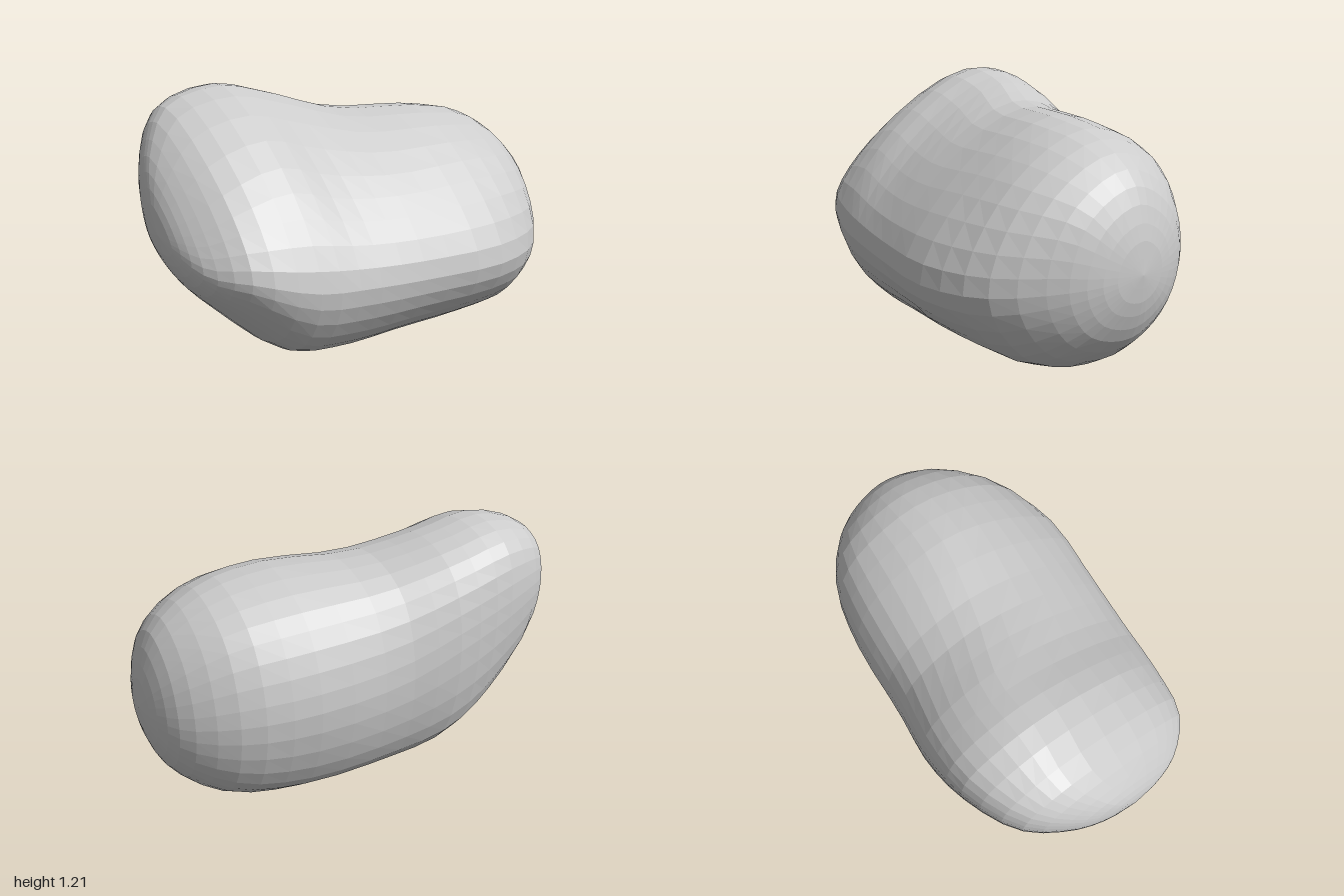
import * as THREE from 'three';

// Cross-sections from back to front: z, then eight outline points (x, y)
// counter-clockwise: right, upper right, top, upper left, left, lower left, bottom, lower right
const SECTIONS = [
  [-0.9, 0.32, 0.46, 0.22, 0.74, -0.04, 0.87, -0.26, 0.75, -0.335, 0.52, -0.26, 0.30, -0.05, 0.18, 0.21, 0.25],
  [-0.7, 0.54, 0.43, 0.36, 0.80, -0.03, 1.01, -0.37, 0.88, -0.49, 0.55, -0.38, 0.20, -0.08, 0.03, 0.33, 0.12],
  [-0.4, 0.64, 0.42, 0.39, 0.81, -0.03, 1.065, -0.43, 0.93, -0.57, 0.57, -0.43, 0.15, -0.12, 0.005, 0.41, 0.13],
  [0.0, 0.605, 0.42, 0.37, 0.79, -0.13, 1.075, -0.48, 0.97, -0.605, 0.62, -0.48, 0.18, -0.11, 0.03, 0.41, 0.13],
  [0.3, 0.57, 0.43, 0.32, 0.81, -0.24, 1.16, -0.545, 1.06, -0.64, 0.74, -0.52, 0.25, -0.02, 0.045, 0.39, 0.12],
  [0.55, 0.535, 0.45, 0.29, 0.87, -0.25, 1.21, -0.55, 1.12, -0.615, 0.82, -0.48, 0.37, 0.06, 0.10, 0.38, 0.16],
  [0.8, 0.46, 0.52, 0.28, 0.80, -0.27, 1.14, -0.46, 1.07, -0.51, 0.86, -0.40, 0.55, 0.02, 0.31, 0.34, 0.36],
  [0.93, 0.32, 0.54, 0.20, 0.71, -0.18, 0.97, -0.30, 0.93, -0.33, 0.80, -0.25, 0.59, 0.00, 0.45, 0.24, 0.46],
];
const BACK = new THREE.Vector3(-0.02, 0.5, -1);
const FRONT = new THREE.Vector3(0, 0.65, 1);
const AROUND = 36;
const ALONG = 30;

// Smooth closed outline of one section
function ring([z, ...xy]) {
  const points = [];
  for (let i = 0; i < xy.length; i += 2) points.push(new THREE.Vector3(xy[i], xy[i + 1], z));
  const curve = new THREE.CatmullRomCurve3(points, true, 'centripetal');
  return Array.from({ length: AROUND }, (_, i) => curve.getPoint(i / AROUND));
}

// Half-width ring that rounds off an end
function capRing(source, pole) {
  return source.map((p) => new THREE.Vector3(
    (p.x + pole.x) / 2, (p.y + pole.y) / 2, p.z + (pole.z - p.z) * 0.77));
}

function bodyGeometry() {
  const rings = SECTIONS.map(ring);
  rings.unshift(capRing(rings[0], BACK));
  rings.push(capRing(rings[rings.length - 1], FRONT));

  // Lengthwise curves from the back pole to the front pole
  const positions = [];
  for (let i = 0; i < AROUND; i++) {
    const line = new THREE.CatmullRomCurve3(
      [BACK, ...rings.map((r) => r[i]), FRONT], false, 'centripetal');
    for (let j = 0; j <= ALONG; j++) positions.push(...line.getPoint(j / ALONG).toArray());
  }

  // Quads between the curves; the first and last bands close as fans on the poles
  const index = [];
  const at = (i, j) => (i % AROUND) * (ALONG + 1) + j;
  for (let i = 0; i < AROUND; i++) {
    for (let j = 0; j < ALONG; j++) {
      const a = at(i, j), b = at(i + 1, j), c = at(i + 1, j + 1), d = at(i, j + 1);
      if (j > 0) index.push(a, b, c);
      if (j < ALONG - 1) index.push(a, c, d);
    }
  }
  const geometry = new THREE.BufferGeometry();
  geometry.setAttribute('position', new THREE.Float32BufferAttribute(positions, 3));
  geometry.setIndex(index);
  geometry.computeVertexNormals();
  return geometry;
}

export function createModel() {
  const model = new THREE.Group();
  model.name = 'pebble';
  const body = new THREE.Mesh(bodyGeometry(),
    new THREE.MeshStandardMaterial({ color: 0xcccccc, flatShading: true }));
  body.name = 'body';
  model.add(body);
  return model;
}
